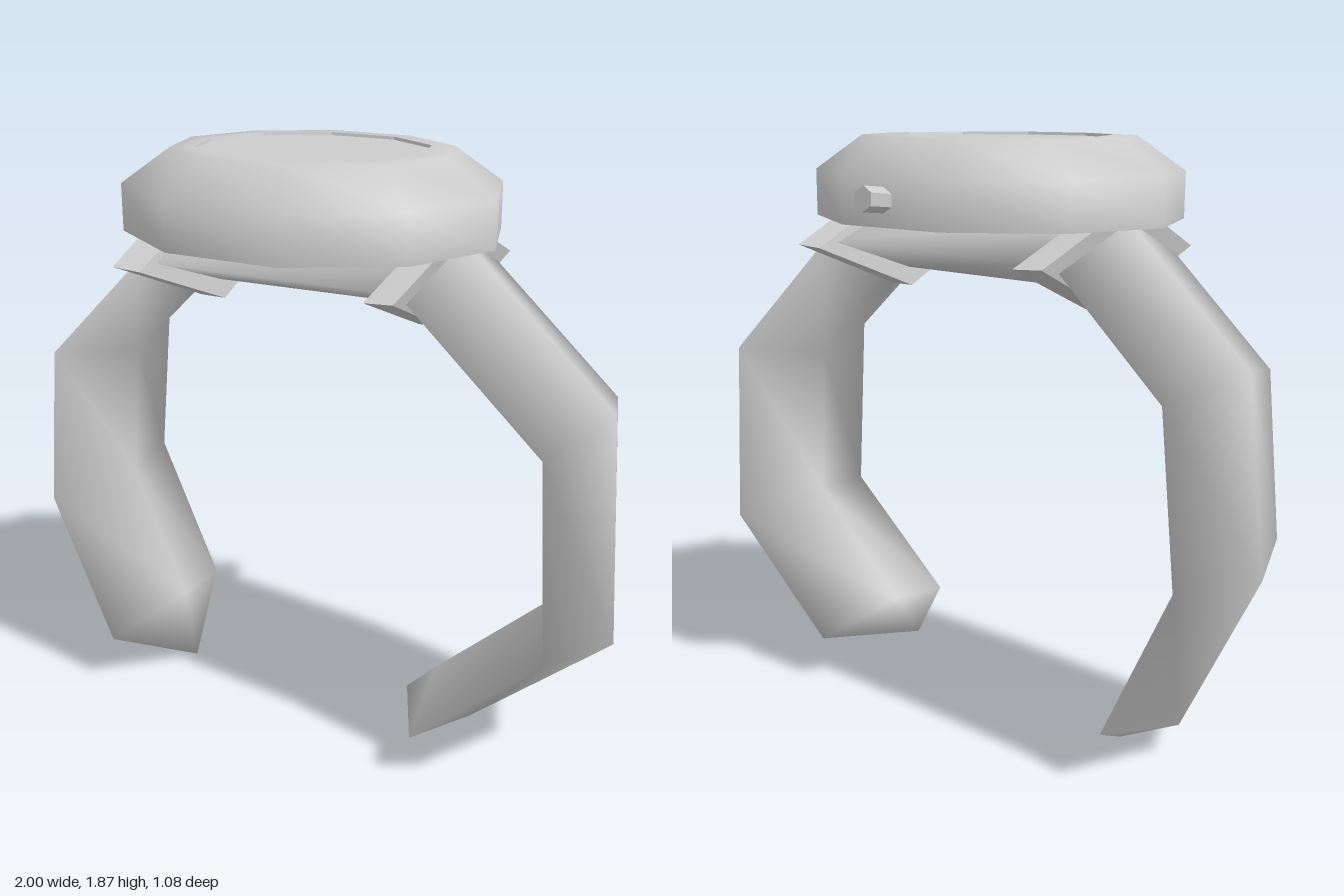
import * as THREE from 'three';

const CZ = 0.04; // depth of the centre line

// Skin over diamond sections; each is [outerX, outerY, innerX, innerY], closed by apexes [x, y]
function loftDiamonds(sections, halfWidth, startApex, endApex) {
  const pos = [], index = [];
  for (const [ox, oy, ix, iy] of sections) {
    const mx = (ox + ix) / 2, my = (oy + iy) / 2;
    pos.push(ox, oy, CZ, mx, my, CZ + halfWidth, ix, iy, CZ, mx, my, CZ - halfWidth);
  }
  const last = (sections.length - 1) * 4, a = last + 4, b = last + 5;
  pos.push(...startApex, CZ, ...endApex, CZ);
  for (let j = 0; j < 4; j++) {
    const k = (j + 1) % 4;
    for (let r = 0; r < last; r += 4) {
      index.push(r + j, r + k, r + 4 + j, r + k, r + 4 + k, r + 4 + j);
    }
    index.push(a, k, j, b, last + j, last + k);
  }
  const geo = new THREE.BufferGeometry();
  geo.setAttribute('position', new THREE.Float32BufferAttribute(pos, 3));
  geo.setIndex(index);
  geo.computeVertexNormals();
  return geo;
}

export function createModel() {
  const group = new THREE.Group();
  const smooth = new THREE.MeshStandardMaterial({ color: 0xcccccc, side: THREE.DoubleSide });
  const flat = new THREE.MeshStandardMaterial({ color: 0xcccccc, flatShading: true });
  const add = (name, geo, mat, parent = group) => {
    const mesh = new THREE.Mesh(geo, mat);
    mesh.name = name;
    parent.add(mesh);
    return mesh;
  };

  // Strap, from the left tip over the top to the right tip
  add('strap', loftDiamonds([
    [-0.75, 0.11, -0.58, 0.24],
    [-1.0, 0.64, -0.78, 0.68],
    [-0.93, 1.24, -0.74, 1.13],
    [-0.51, 1.64, -0.43, 1.42],
    [0.47, 1.64, 0.37, 1.43],
    [0.955, 1.19, 0.76, 1.09],
    [1.0, 0.48, 0.79, 0.57],
    [0.55, 0.09, 0.42, 0.23],
  ], 0.31, [-0.54, 0], [0.32, 0.13]), smooth);

  // Bands around the strap beneath the case
  const band = (name, a, b) => {
    const mid = (s) => [(s[0] + s[2]) / 2, (s[1] + s[3]) / 2];
    add(name, loftDiamonds([a, b], 0.395, mid(a), mid(b)), flat);
  };
  band('rightLug', [-0.535, 1.69, -0.46, 1.36], [-0.425, 1.68, -0.37, 1.36]);
  band('leftLug', [0.385, 1.68, 0.33, 1.37], [0.485, 1.69, 0.41, 1.37]);

  // Ten-sided oval case
  const watchCase = new THREE.Group();
  watchCase.name = 'case';
  watchCase.position.set(-0.035, 0, CZ);
  watchCase.scale.z = 0.87;
  group.add(watchCase);
  const ring = (name, points, mat) => add(name, new THREE.LatheGeometry(
    points.map(([r, y]) => new THREE.Vector2(r, y)), 10, Math.PI / 2), mat, watchCase);
  ring('caseBody', [[0.6, 1.617], [0.6, 1.76], [0.445, 1.865], [0.37, 1.867]], smooth);
  ring('caseBack', [[0, 1.617], [0.6, 1.617]], flat);
  ring('dial', [[0.37, 1.867], [0.367, 1.858], [0, 1.858]], flat);

  // Crown at the back of the case
  const crown = add('crown', new THREE.CylinderGeometry(0.037, 0.037, 0.13, 6), flat);
  crown.position.set(-0.015, 1.697, -0.475);
  crown.rotation.x = -Math.PI / 2 + 0.1;

  return group;
}
